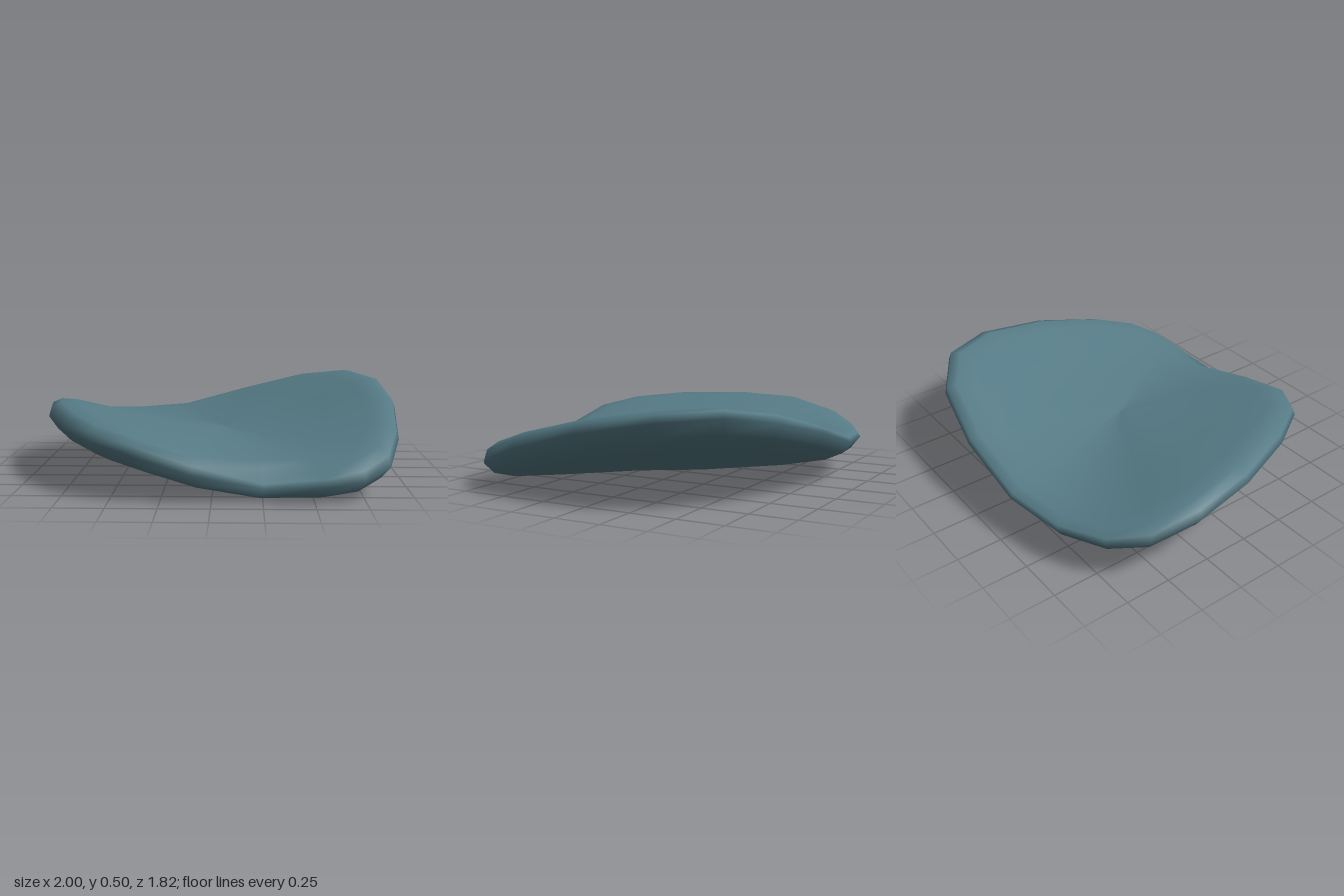
import * as THREE from 'three';

export function createModel() {
  // rim of the curved slab, going round from the back: x, mid height, z, top thickness scale
  const rim = [
    [-0.23, 0.205, -0.91, 0.6], [0.18, 0.31, -0.91, 0.75], [0.57, 0.4, -0.83, 1], [0.83, 0.445, -0.66, 1],
    [0.97, 0.42, -0.37, 1.05], [1.0, 0.345, 0.06, 1.1], [0.96, 0.235, 0.47, 1.15], [0.885, 0.14, 0.72, 1.25],
    [0.75, 0.09, 0.84, 1.15], [0.57, 0.07, 0.89, 1], [0.25, 0.065, 0.895, 1], [-0.1, 0.13, 0.905, 1],
    [-0.4, 0.22, 0.86, 1.05], [-0.62, 0.265, 0.72, 1.05], [-0.79, 0.285, 0.45, 1.15], [-0.94, 0.29, 0.06, 1.2],
    [-1.0, 0.275, -0.3, 1.15], [-0.95, 0.225, -0.57, 1], [-0.8, 0.19, -0.73, 0.75], [-0.56, 0.185, -0.85, 0.6],
  ];
  // thickness profile from the underside centre round the lip to the top centre: radius, offset
  const profile = [
    [0, -0.085], [0.3, -0.087], [0.6, -0.09], [0.85, -0.083], [0.95, -0.057],
    [1, 0], [0.985, 0.045], [0.93, 0.08], [0.83, 0.1], [0.6, 0.11], [0.3, 0.115], [0, 0.12],
  ];
  const centre = [0.05, 0.11, 0];
  const n = rim.length;
  const pos = [], index = [];

  profile.forEach(([r, off], k) => {
    for (const [x, y, z, scale] of rim) {
      // the thickness scale fades out towards the middle
      const lift = off > 0 ? off * (1 + (scale - 1) * r) : off;
      // notch in the top of the front lip
      const notch = k > 5 && r > 0.9 && z > 0 ? Math.exp(-(((x - 0.33) / 0.2) ** 2)) : 0;
      pos.push(
        centre[0] + (x - centre[0]) * r,
        centre[1] + (y - centre[1]) * r ** 1.6 + lift - notch * (r > 0.95 ? 0.045 : 0.005),
        centre[2] + (z - centre[2]) * r - notch * 0.07,
      );
    }
  });
  for (let k = 0; k < profile.length - 1; k++) {
    for (let i = 0; i < n; i++) {
      const j = (i + 1) % n;
      const a = k * n + i, b = k * n + j, c = a + n, d = b + n;
      // the first and last rings collapse to a point
      if (k > 0) index.push(a, c, b);
      if (k < profile.length - 2) index.push(b, c, d);
    }
  }

  const geometry = new THREE.BufferGeometry();
  geometry.setAttribute('position', new THREE.Float32BufferAttribute(pos, 3));
  geometry.setIndex(index);
  geometry.computeBoundingBox();
  geometry.translate(0, -geometry.boundingBox.min.y, 0);
  geometry.computeVertexNormals();

  const slab = new THREE.Mesh(geometry, new THREE.MeshStandardMaterial({ color: 0x567b86 }));
  slab.name = 'curvedSlab';
  const group = new THREE.Group();
  group.name = 'curvedShell';
  group.add(slab);
  return group;
}
